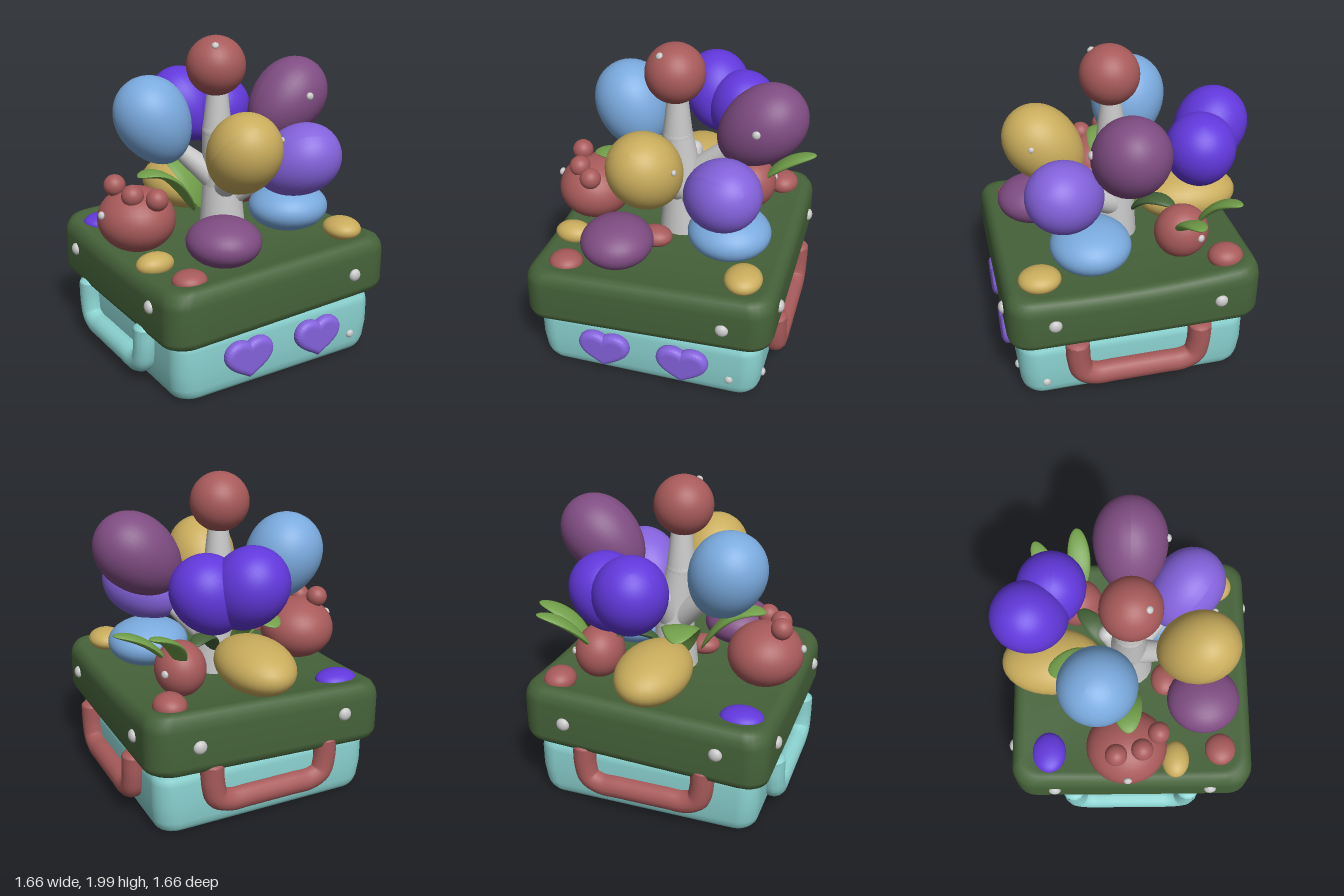
import * as THREE from 'three';

const mat = (name, color) => Object.assign(new THREE.MeshStandardMaterial({ color }), { name });
const teal = mat('teal', 0x8ad2d0), moss = mat('mossGreen', 0x46633a), red = mat('dustyRed', 0xa85a5a);
const blue = mat('skyBlue', 0x7aaade), gold = mat('gold', 0xc9ac5c), plum = mat('plum', 0x7f4c82);
const violet = mat('violet', 0x8462dc), indigo = mat('deepViolet', 0x6238dc);
const leafGreen = mat('leafGreen', 0x729f4a), grey = mat('paleGrey', 0xc8c8c8);

const V = (p) => new THREE.Vector3(...p);

export function createModel() {
  const model = new THREE.Group();
  model.name = 'balloonCase';
  const add = (name, geo, material, pos = [0, 0, 0]) => {
    const m = new THREE.Mesh(geo, material);
    m.name = name;
    m.position.set(...pos);
    model.add(m);
    return m;
  };

  // Rounded-square slab lofted through rings of [scale, y]
  const slab = (half, r, rings, warp = (x, y) => y) => {
    const outline = [];
    for (let k = 0; k < 4; k++) {
      const c = Math.cos(k * Math.PI / 2), s = Math.sin(k * Math.PI / 2), h = half - r;
      const put = (x, z) => outline.push([x * c - z * s, x * s + z * c]);
      for (let j = 1; j < 10; j++) put(half, -h + 2 * h * j / 10);
      for (let j = 0; j <= 6; j++) {
        const a = j / 6 * Math.PI / 2;
        put(h + r * Math.cos(a), h + r * Math.sin(a));
      }
    }
    const n = outline.length, pos = [], idx = [];
    for (const [sc, y] of rings)
      for (const [x, z] of outline) pos.push(x * sc, warp(x * sc, y, z * sc), z * sc);
    for (let i = 0; i < rings.length - 1; i++)
      for (let j = 0; j < n; j++) {
        const a = i * n + j, b = i * n + (j + 1) % n;
        idx.push(a, a + n, b, b, a + n, b + n);
      }
    const g = new THREE.BufferGeometry();
    g.setAttribute('position', new THREE.Float32BufferAttribute(pos, 3));
    g.setIndex(idx);
    g.computeVertexNormals();
    return g;
  };

  // Case body and its tilted, slightly dished lid
  add('caseBody', slab(0.72, 0.12, [[0, 0.01], [0.9, 0.01], [0.92, 0.012], [0.95, 0.025], [0.97, 0.05],
    [0.985, 0.09], [1, 0.2], [1, 0.34], [0.99, 0.38], [0.96, 0.41], [0, 0.41]]), teal, [0.005, 0, 0.025]);
  const h = 0.34;
  add('caseLid', slab(0.785, 0.14, [[0, 0], [0.9, 0], [0.95, 0.005], [0.985, 0.025], [1, 0.06], [1, 0.25],
    [0.99, 0.29], [0.965, 0.325], [0.93, h], [0.89, h], [0.8, 0.33], [0.6, 0.32], [0.3, 0.315], [0, 0.315]],
    (x, y, z) => 0.4 + y + 0.04 * x + (y / h) * (0.075 * z * z - 0.02 * z)), moss, [0.005, 0, 0.02]);

  // Carrying handles on three sides
  const half = [[0.385, 0.43], [0.38, 0.3], [0.355, 0.215], [0.28, 0.177], [0.15, 0.175]];
  const path = [...half, ...half.map(([x, y]) => [-x, y]).reverse()].map(([x, y]) => V([x, y, 0]));
  const handle = (name, material, pos, turn) => {
    const g = new THREE.Group();
    g.name = name;
    g.add(new THREE.Mesh(new THREE.TubeGeometry(new THREE.CatmullRomCurve3(path), 60, 0.074, 14), material));
    for (const x of [-0.385, 0.385]) {
      const end = new THREE.Mesh(new THREE.SphereGeometry(0.074, 14, 10), material);
      end.position.set(x, 0.43, 0);
      end.scale.y = 0.4;
      g.add(end);
    }
    g.position.set(...pos);
    g.rotation.y = turn;
    model.add(g);
  };
  handle('rightHandle', red, [0.75, 0, 0.01], Math.PI / 2);
  handle('backHandle', red, [0, 0.01, -0.7], Math.PI);
  handle('leftHandle', teal, [-0.74, -0.04, 0.01], -Math.PI / 2);

  // Puffy hearts on the front
  const heart = new THREE.Shape();
  heart.moveTo(0, -0.08);
  heart.bezierCurveTo(0.03, -0.06, 0.125, -0.02, 0.125, 0.03);
  heart.bezierCurveTo(0.125, 0.09, 0.03, 0.1, 0, 0.04);
  heart.bezierCurveTo(-0.03, 0.1, -0.125, 0.09, -0.125, 0.03);
  heart.bezierCurveTo(-0.125, -0.02, -0.03, -0.06, 0, -0.08);
  const heartGeo = new THREE.ExtrudeGeometry(heart,
    { depth: 0.01, bevelThickness: 0.035, bevelSize: 0.04, bevelSegments: 6, curveSegments: 12 });
  for (const x of [-0.255, 0.25]) add('heart', heartGeo, violet, [x, 0.23, 0.765]);

  // Ellipsoids; eggs taper towards the lower end of their axis
  const blob = (name, material, pos, scale) => {
    const m = add(name, new THREE.SphereGeometry(1, 32, 20), material, pos);
    m.scale.set(...scale);
    return m;
  };
  const egg = (name, material, pos, r, len, axis, taper = 0.1) => {
    const g = new THREE.SphereGeometry(1, 36, 24), p = g.attributes.position;
    for (let i = 0; i < p.count; i++) {
      const y = p.getY(i), k = r * (1 + taper * y);
      p.setXYZ(i, p.getX(i) * k, y * len, p.getZ(i) * k);
    }
    g.computeVertexNormals();
    add(name, g, material, pos).quaternion.setFromUnitVectors(V([0, 1, 0]), V(axis).normalize());
  };

  // Balloons
  blob('topBalloon', red, [-0.013, 1.815, 0.018], [0.185, 0.185, 0.185]);
  egg('blueBalloon', blue, [-0.35, 1.47, -0.175], 0.235, 0.29, [-0.35, 0.85, -0.22]);
  egg('goldBalloon', gold, [-0.075, 1.35, 0.42], 0.223, 0.29, [-0.1, 0.72, 0.64]);
  egg('plumBalloon', plum, [0.525, 1.54, 0.022], 0.23, 0.305, [0.74, 0.67, 0]);
  egg('violetBalloon', violet, [0.37, 1.235, 0.37], 0.22, 0.28, [0.62, 0.45, 0.62]);
  egg('heartBalloonLobe', indigo, [0.1, 1.44, -0.585], 0.22, 0.27, [-0.25, 0.75, -0.5]);
  egg('heartBalloonLobe', indigo, [0.295, 1.4, -0.47], 0.215, 0.245, [0.4, 0.85, 0.1]);

  // Fruits resting on the lid
  blob('goldFruit', gold, [0, 0.925, -0.49], [0.225, 0.16, 0.33]);
  blob('blueFruit', blue, [0.4, 0.895, 0.235], [0.26, 0.15, 0.25]);
  blob('plumFruit', plum, [-0.25, 0.865, 0.485], [0.225, 0.145, 0.235]);
  blob('crownedFruit', red, [-0.57, 0.915, -0.015], [0.24, 0.2, 0.255]);
  for (const p of [[-0.68, 1.13, -0.08], [-0.64, 1.1, 0.08], [-0.53, 1.085, 0.185]])
    blob('fruitCrown', red, p, [0.068, 0.068, 0.068]);
  blob('redBud', red, [0.42, 0.92, -0.335], [0.155, 0.17, 0.17]);

  // Pebbles around the rim
  blob('pebble', red, [0.59, 0.81, -0.57], [0.1, 0.075, 0.11]);
  blob('pebble', red, [-0.55, 0.725, 0.595], [0.105, 0.06, 0.1]);
  blob('pebble', red, [-0.08, 0.77, 0.24], [0.11, 0.065, 0.09]);
  blob('pebble', gold, [-0.615, 0.735, 0.3], [0.12, 0.07, 0.09]);
  blob('pebble', gold, [0.57, 0.815, 0.58], [0.115, 0.07, 0.13]);
  blob('pebble', indigo, [-0.565, 0.735, -0.52], [0.135, 0.06, 0.11]);

  // Trunk and branches as tapered limbs with rounded ends
  const limb = (name, from, to, r0, r1) => {
    const a = V(from), b = V(to), d = b.clone().sub(a);
    const m = add(name, new THREE.CylinderGeometry(r1, r0, d.length(), 18), grey, a.clone().lerp(b, 0.5).toArray());
    m.quaternion.setFromUnitVectors(V([0, 1, 0]), d.normalize());
    blob(name + 'End', grey, to, [r1, r1, r1]);
  };
  limb('trunkBase', [0.04, 0.74, 0.01], [0.04, 1.08, 0], 0.15, 0.12);
  limb('trunk', [0.04, 1.06, 0], [0, 1.4, 0.01], 0.125, 0.095);
  limb('trunkTop', [0, 1.4, 0.01], [0, 1.7, 0.015], 0.095, 0.06);
  limb('branch', [0.03, 1.05, 0], [-0.26, 1.33, -0.13], 0.09, 0.05);
  limb('branch', [0.04, 1.0, 0], [-0.04, 1.2, 0.3], 0.09, 0.05);
  limb('branch', [0.06, 1.1, 0], [0.36, 1.4, 0.025], 0.08, 0.05);
  limb('branch', [0.06, 0.95, 0], [0.25, 1.13, 0.24], 0.09, 0.05);
  limb('branch', [0.05, 1.0, 0], [0.07, 1.23, -0.13], 0.09, 0.055);

  // Curved leaves: a ball stretched along a bent spine
  const leaf = (material, a, b, c, width, thick = 0.025) => {
    const spine = new THREE.QuadraticBezierCurve3(V(a), V(b), V(c));
    const g = new THREE.SphereGeometry(1, 14, 20), p = g.attributes.position, v = new THREE.Vector3();
    for (let i = 0; i < p.count; i++) {
      v.fromBufferAttribute(p, i);
      const t = (v.y + 1) / 2, tan = spine.getTangent(t);
      const side = tan.clone().cross(V([0, 1, 0])).normalize(), up = side.clone().cross(tan);
      const q = spine.getPoint(t).addScaledVector(side, v.x * width).addScaledVector(up, v.z * thick);
      p.setXYZ(i, q.x, q.y, q.z);
    }
    g.computeVertexNormals();
    add('leaf', g, material);
  };
  leaf(leafGreen, [0.45, 0.98, -0.42], [0.52, 1.2, -0.52], [0.71, 1.24, -0.6], 0.07);
  leaf(leafGreen, [0.5, 0.97, -0.31], [0.62, 1.15, -0.31], [0.83, 1.19, -0.33], 0.075);
  leaf(leafGreen, [-0.15, 0.88, -0.03], [-0.33, 1.24, -0.02], [-0.56, 1.18, 0], 0.1);
  leaf(leafGreen, [-0.04, 0.85, -0.12], [-0.1, 1.25, -0.22], [-0.14, 1.14, -0.5], 0.12);
  leaf(moss, [0.08, 0.88, -0.1], [0.17, 1.1, -0.18], [0.32, 1.03, -0.32], 0.07);

  // Studs flattened along their facing direction
  const stud = (pos, normal, r) => {
    blob('stud', grey, pos, [r, r * 0.7, r]).quaternion.setFromUnitVectors(V([0, 1, 0]), V(normal).normalize());
  };
  stud([0.5, 0.59, 0.805], [0, 0, 1], 0.04);
  for (const x of [-0.48, 0.49]) stud([x, 0.61, -0.765], [0, 0, -1], 0.042);
  for (const z of [-0.49, 0.53]) {
    stud([0.79, 0.625, z], [1, 0, 0], 0.04);
    stud([-0.78, 0.59, z], [-1, 0, 0], 0.04);
  }
  stud([0.54, 0.15, 0.742], [0, 0, 1], 0.026);
  stud([0.722, 0.13, 0.59], [1, 0, 0], 0.026);
  stud([-0.808, 0.98, -0.01], [-1, 0.2, 0], 0.026);
  stud([-0.08, 1.957, 0.118], [-0.4, 0.8, 0.6], 0.022);
  stud([0.54, 1.6, 0.252], [0, 0.2, 1], 0.025);
  stud([0.555, 0.935, -0.42], [1, 0.1, -0.5], 0.024);
  stud([0.13, 1.44, 0.53], [1, 0.2, 0.3], 0.018);
  return model;
}
